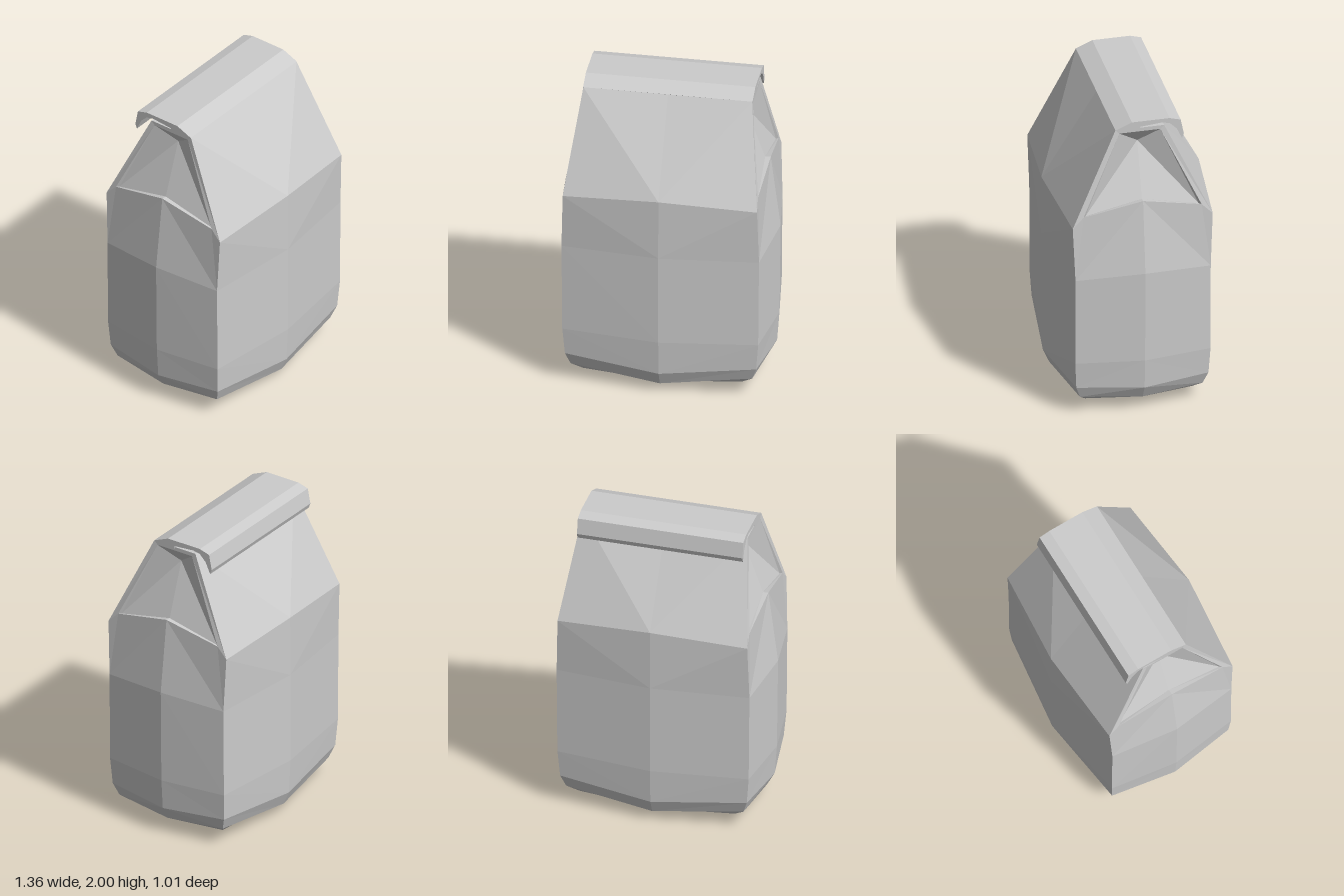
import * as THREE from 'three';

// Collects polygons of one quarter (+x, +z) and mirrors them to all four quarters.
function mirroredMesh(name, polygons, material) {
  const positions = [];
  for (const sx of [1, -1]) {
    for (const sz of [1, -1]) {
      for (const poly of polygons) {
        for (let i = 1; i < poly.length - 1; i++) {
          const tri = [poly[0], poly[i], poly[i + 1]];
          if (sx * sz < 0) tri.reverse();
          for (const [x, y, z] of tri) positions.push(x * sx, y, z * sz);
        }
      }
    }
  }
  const geometry = new THREE.BufferGeometry();
  geometry.setAttribute('position', new THREE.Float32BufferAttribute(positions, 3));
  geometry.computeVertexNormals();
  const mesh = new THREE.Mesh(geometry, material);
  mesh.name = name;
  return mesh;
}

export function createModel() {
  const group = new THREE.Group();
  group.name = 'paperBag';
  const material = new THREE.MeshStandardMaterial({ color: 0xcccccc, flatShading: true });

  // Rings from bottom to belly: front middle, corner, side middle
  const rings = [
    [[0, 0.02, 0.35], [0.5, 0.06, 0.34], [0.53, 0.05, 0]],
    [[0, 0.06, 0.45], [0.57, 0.115, 0.39], [0.61, 0.09, 0]],
    [[0, 0.15, 0.49], [0.6, 0.2, 0.42], [0.66, 0.18, 0]],
    [[0, 0.38, 0.503], [0.615, 0.38, 0.43], [0.675, 0.38, 0]],
    [[0, 0.98, 0.503], [0.62, 0.97, 0.43], [0.682, 1.0, 0]],
  ];
  const [bellyFront, bellyCorner, bellySide] = rings[4];

  // Shoulder and top edge
  const shoulderFront = [0, 1.38, 0.5];
  const shoulderCorner = [0.61, 1.335, 0.445];
  const topFront = [0, 1.95, 0.147];
  const topCorner = [0.53, 1.955, 0.155];
  const topSide = [0.53, 1.955, 0];

  // Rim of the side panel and the folded-in gusset
  const rimCorner = [0.605, 1.405, 0.375];
  const rimMiddle = [0.62, 1.483, 0];
  const innerCorner = [0.59, 1.405, 0.36];
  const innerMiddle = [0.585, 1.48, 0];
  const openingTop = [0.53, 1.93, 0.13];
  const openingTopMiddle = [0.53, 1.93, 0];
  const foldPoint = [0.46, 1.83, 0];

  // Body: bottom, lower walls, upper side panel
  const body = [[[0, 0, 0], rings[0][2], rings[0][1], rings[0][0]]];
  for (let i = 0; i < rings.length - 1; i++) {
    for (let j = 0; j < 2; j++) {
      body.push([rings[i][j], rings[i][j + 1], rings[i + 1][j + 1], rings[i + 1][j]]);
    }
  }
  body.push(
    [bellyFront, bellyCorner, shoulderCorner, shoulderFront],
    [bellyCorner, bellySide, rimMiddle, rimCorner],
    [bellyCorner, rimCorner, shoulderCorner],
  );
  group.add(mirroredMesh('body', body, material));

  // Sloping panels with their edge thickness and the closed top
  group.add(mirroredMesh('slopingPanels', [
    [shoulderFront, shoulderCorner, topCorner, topFront],
    [shoulderCorner, rimCorner, openingTop, topCorner],
    [topCorner, openingTop, openingTopMiddle, topSide],
    [topFront, topCorner, topSide, [0, 1.955, 0]],
  ], material));

  // Side gussets folded inward
  group.add(mirroredMesh('gussets', [
    [rimCorner, rimMiddle, innerMiddle, innerCorner],
    [rimCorner, innerCorner, openingTop],
    [innerCorner, innerMiddle, foldPoint, openingTop],
    [openingTop, foldPoint, openingTopMiddle],
  ], material));

  // Folded top flap: profile of [z, y], hooked over the back
  const profile = [
    [0.155, 1.955], [0.05, 2], [-0.19, 2], [-0.26, 1.98], [-0.28, 1.88], [-0.268, 1.848],
    [-0.235, 1.92], [-0.19, 1.965], [-0.14, 1.975], [0, 1.962], [0, 1.945], [0.14, 1.945],
  ];
  const shape = new THREE.Shape(profile.map(([z, y]) => new THREE.Vector2(-z, y)));
  const flapGeometry = new THREE.ExtrudeGeometry(shape, { depth: 1.064, bevelEnabled: false });
  flapGeometry.rotateY(Math.PI / 2).translate(-0.532, 0, 0);
  const flap = new THREE.Mesh(flapGeometry, material);
  flap.name = 'foldedFlap';
  group.add(flap);

  return group;
}
